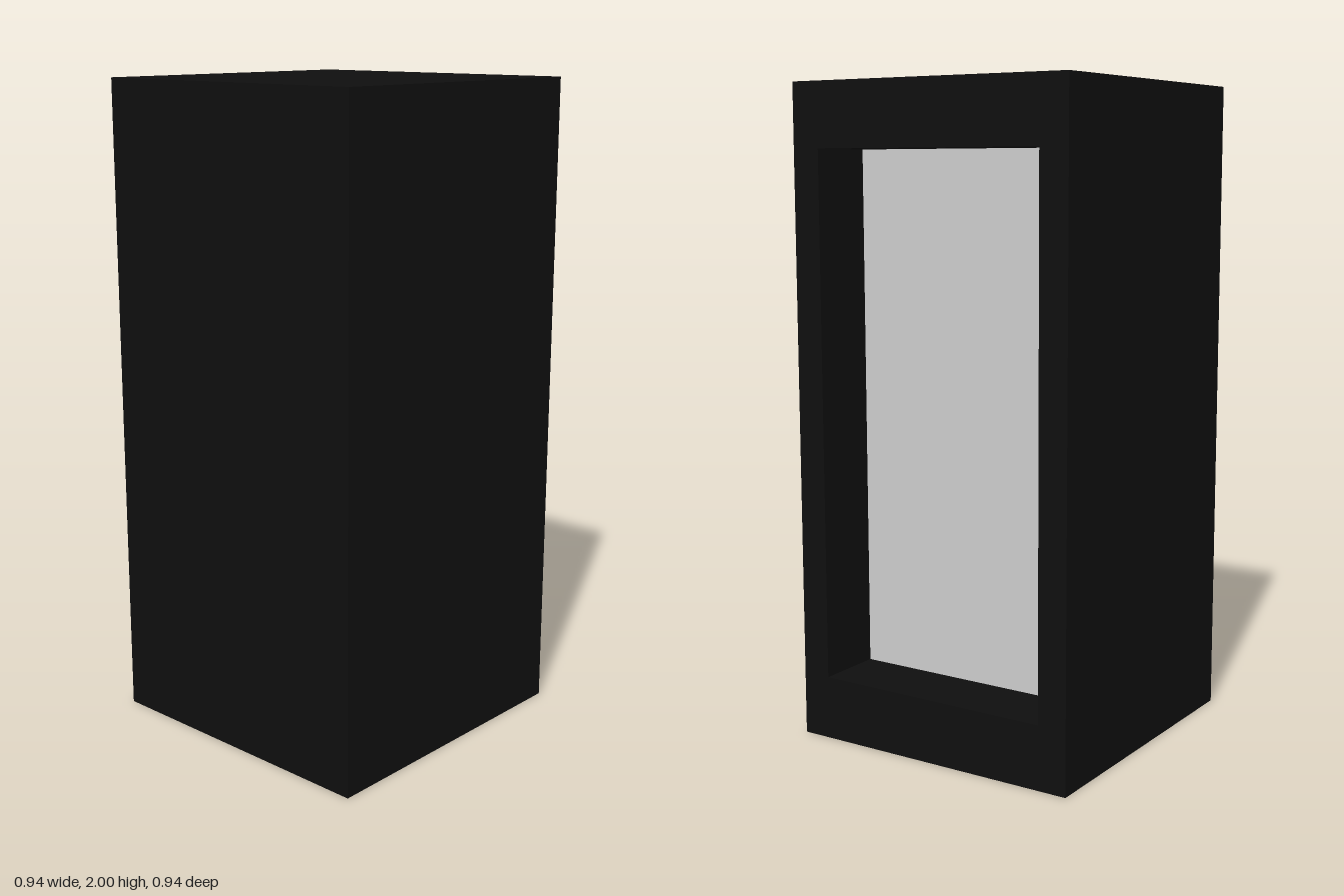
import * as THREE from 'three';

const WIDTH = 0.945, HEIGHT = 2;          // square tower
const OPEN_W = 0.762, OPEN_H = 1.61;      // recessed opening on the +x side
const RECESS = 0.21, PANEL_T = 0.012;

// Centred rectangle, used for the frame outline and its hole
function rectangle(Type, w, h) {
  return new Type([
    new THREE.Vector2(-w / 2, -h / 2), new THREE.Vector2(w / 2, -h / 2),
    new THREE.Vector2(w / 2, h / 2), new THREE.Vector2(-w / 2, h / 2),
  ]);
}

export function createModel() {
  const group = new THREE.Group();
  const black = new THREE.MeshStandardMaterial({ color: 0x0f0f0f });
  const grey = new THREE.MeshStandardMaterial({ color: 0xcccccc });

  const add = (name, geometry, material, x) => {
    const mesh = new THREE.Mesh(geometry, material);
    mesh.name = name;
    mesh.position.set(x, HEIGHT / 2, 0);
    group.add(mesh);
    return mesh;
  };

  const half = WIDTH / 2;
  const frameDepth = RECESS + PANEL_T;
  const coreDepth = WIDTH - frameDepth;

  // Solid cabinet behind the recess
  add('cabinetBody', new THREE.BoxGeometry(coreDepth, HEIGHT, WIDTH), black, -half + coreDepth / 2);

  // Frame around the opening, extruded towards +x
  const outline = rectangle(THREE.Shape, WIDTH, HEIGHT);
  outline.holes.push(rectangle(THREE.Path, OPEN_W, OPEN_H));
  const frame = new THREE.ExtrudeGeometry(outline, { depth: frameDepth, bevelEnabled: false });
  frame.rotateY(Math.PI / 2);
  add('openingFrame', frame, black, half - frameDepth);

  // Pale panel at the back of the recess
  add('recessedPanel', new THREE.BoxGeometry(PANEL_T, OPEN_H, OPEN_W), grey, half - RECESS - PANEL_T / 2);

  return group;
}
